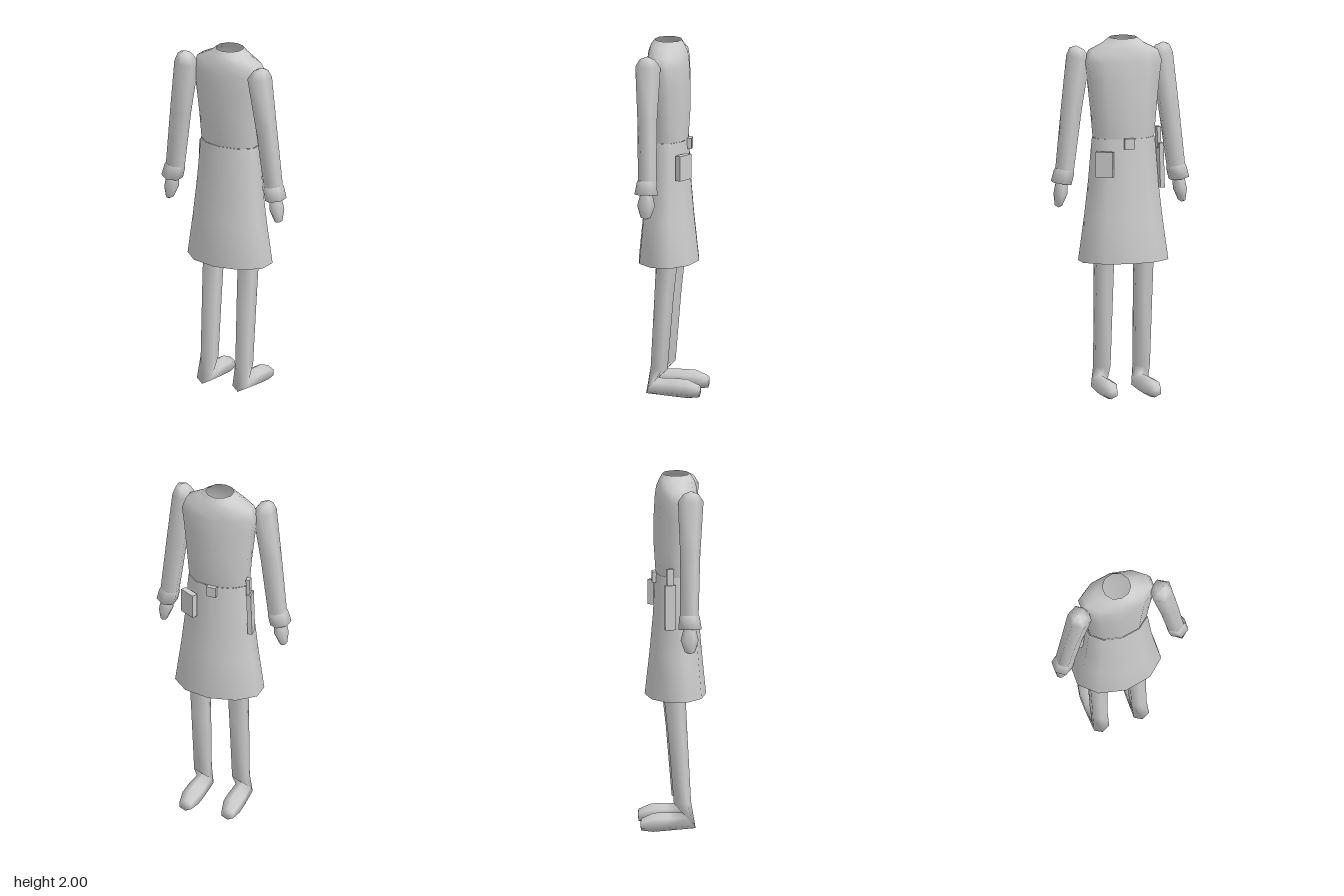
import * as THREE from 'three';

const gray = new THREE.MeshStandardMaterial({ color: 0xcccccc, side: THREE.DoubleSide });
gray.name = 'plain gray';

// Smooth n-sided skin over rings: [centreX, halfWidth, yBack, zBack, yFront, zFront, tilt]
function loft(name, n, rings) {
  const pos = [], index = [];
  const widest = Math.sin((Math.round(n / 4) * 2 * Math.PI) / n);
  for (const [x, hw, yb, zb, yf, zf, tilt = 0] of rings) {
    for (let i = 0; i < n; i++) {
      const a = (i / n) * Math.PI * 2, s = Math.sin(a) / widest, c = Math.cos(a);
      pos.push(x + hw * s, (yb + yf) / 2 + (c * (yb - yf)) / 2 + tilt * s, (zb + zf) / 2 + (c * (zb - zf)) / 2);
    }
  }
  for (let r = 0; r < rings.length - 1; r++) {
    for (let i = 0; i < n; i++) {
      const a = r * n + i, b = r * n + ((i + 1) % n);
      index.push(a, a + n, b + n, a, b + n, b);
    }
  }
  const g = new THREE.BufferGeometry();
  g.setAttribute('position', new THREE.Float32BufferAttribute(pos, 3));
  g.setIndex(index);
  g.computeVertexNormals();
  const mesh = new THREE.Mesh(g, gray);
  mesh.name = name;
  return mesh;
}

// Level ring: [y, centreX, halfWidth, zFront, zBack, tilt]
const level = (side) => ([y, x, hw, zf, zb, tilt = 0]) => [side * x, hw, y, zb, y, zf, side * tilt];

function box(name, size, position, yaw = 0, roll = 0) {
  const mesh = new THREE.Mesh(new THREE.BoxGeometry(...size), gray);
  mesh.position.set(...position);
  mesh.rotation.set(0, yaw, roll);
  mesh.name = name;
  return mesh;
}

export function createModel() {
  const model = new THREE.Group();
  model.name = 'coatedFigure';

  // Coat bodice, open at the neck
  model.add(loft('bodice', 10, [
    [2.0, 0, 0.075, -0.058, 0.094],
    [1.97, 0, 0.11, -0.075, 0.115],
    [1.93, 0, 0.19, -0.092, 0.13],
    [1.87, 0, 0.212, -0.1, 0.138],
    [1.77, 0, 0.198, -0.105, 0.14],
    [1.6, 0, 0.18, -0.105, 0.13],
    [1.445, 0, 0.167, -0.095, 0.12],
  ].map(level(1))));

  // Flared skirt, turned inward at the hem
  model.add(loft('skirt', 10, [
    [1.445, 0, 0.17, -0.097, 0.122],
    [1.4, 0, 0.175, -0.099, 0.125],
    [1.2, 0, 0.19, -0.11, 0.143],
    [1.0, 0, 0.212, -0.128, 0.16],
    [0.757, 0, 0.244, -0.155, 0.184],
    [0.8, 0, 0.23, -0.143, 0.172],
    [1.0, 0, 0.2, -0.116, 0.148],
    [1.3, 0, 0.17, -0.09, 0.12],
  ].map(level(1))));

  for (const side of [1, -1]) {
    const word = side > 0 ? 'left' : 'right';

    // Sleeve with rounded shoulder
    model.add(loft(word + 'Sleeve', 6, [
      [1.952, 0.25, 0, 0.087, 0.087],
      [1.935, 0.246, 0.036, 0.045, 0.13, 0.004],
      [1.89, 0.238, 0.058, 0.015, 0.157, 0.006],
      [1.6, 0.279, 0.051, 0.026, 0.137, 0.01],
      [1.25, 0.321, 0.045, 0.022, 0.125, 0.01],
    ].map(level(side))));

    // Cuff, closed underneath
    model.add(loft(word + 'Cuff', 6, [
      [1.265, 0.32, 0.046, 0.02, 0.128, 0.008],
      [1.25, 0.323, 0.05, 0.017, 0.133, 0.008],
      [1.19, 0.338, 0.05, 0.013, 0.142, 0.008],
      [1.2, 0.337, 0.028, 0.04, 0.11, 0.006],
    ].map(level(side))));

    // Mitten-like hand
    model.add(loft(word + 'Hand', 6, [
      [1.22, 0.333, 0.026, 0.045, 0.105],
      [1.19, 0.336, 0.03, 0.04, 0.11],
      [1.13, 0.343, 0.033, 0.025, 0.125],
      [1.065, 0.354, 0.017, 0.048, 0.104],
      [1.055, 0.355, 0, 0.076, 0.076],
    ].map(level(side))));

    // Leg bending at the heel into the foot
    const x = side * 0.113;
    model.add(loft(word + 'LegAndFoot', 6, [
      [side * 0.11, 0.058, 1.1, 0.055, 1.1, -0.075],
      [x, 0.05, 0.76, 0.065, 0.76, -0.055],
      [x, 0.048, 0.55, 0.075, 0.55, -0.032],
      [x, 0.043, 0.17, 0.095, 0.16, 0.0],
      [side * 0.116, 0.044, 0.02, 0.12, 0.11, 0.055],
      [side * 0.12, 0.049, 0.008, -0.04, 0.112, -0.03],
      [side * 0.122, 0.048, 0.003, -0.115, 0.11, -0.112],
      [side * 0.125, 0.034, 0.012, -0.182, 0.08, -0.182],
      [side * 0.125, 0, 0.045, -0.185, 0.045, -0.185],
    ]));
  }

  // Belt fittings
  model.add(
    box('buckle', [0.054, 0.06, 0.024], [0, 1.42, -0.104]),
    box('pouch', [0.098, 0.14, 0.034], [0.138, 1.31, -0.094], -0.5),
    box('holster', [0.026, 0.25, 0.06], [-0.2, 1.285, -0.025], 0.1, -0.03),
    box('holsterGrip', [0.022, 0.12, 0.035], [-0.189, 1.44, -0.025], 0.1, -0.03),
  );
  return model;
}
